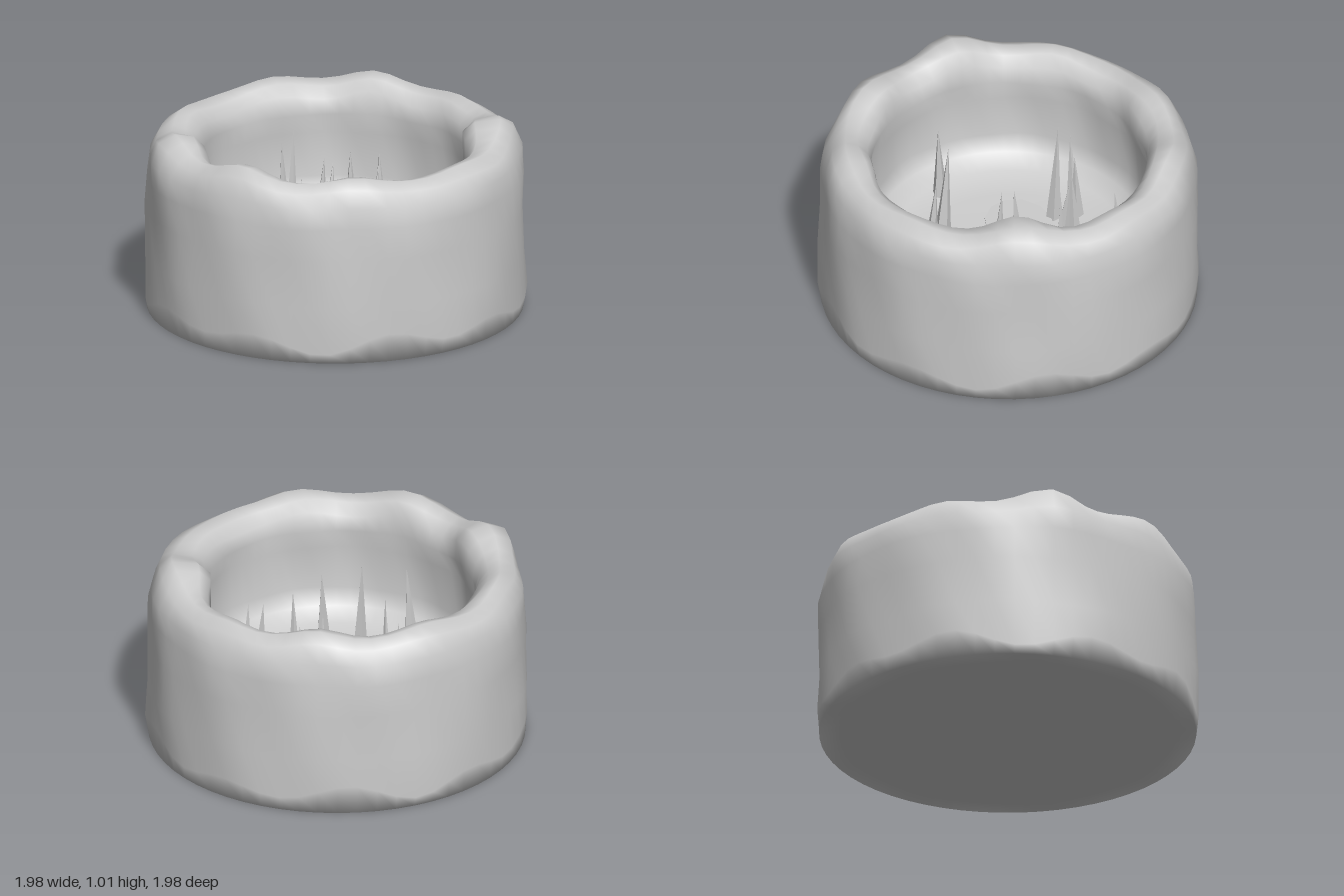
import * as THREE from 'three';

const clay = new THREE.MeshStandardMaterial({ color: 0xcccccc });
clay.name = 'clayGrey';

// Lumps on the rim: angle in degrees (0 = +x, 90 = +z), height, half width, outward and inward swell
const lumps = [
  [17, 0.085, 14, 0.01, 0.07], [54, 0.015, 12, 0.01, 0.01], [100, 0.04, 12, 0.0, 0.02],
  [141, 0.06, 12, 0.0, 0.02], [180, 0.075, 11, 0.035, 0.02], [218, 0.03, 12, 0.0, 0.0],
  [263, 0.04, 14, 0.0, 0.01], [301, 0.06, 12, 0.0, 0.01], [335, 0.02, 10, 0.0, 0.0],
];

// Sum of the lumps at one angle
function lumpAt(deg) {
  const sum = { up: 0, out: 0, inn: 0 };
  for (const [at, up, width, out, inn] of lumps) {
    const d = ((deg - at + 540) % 360) - 180;
    const w = Math.exp(-((d / width) ** 2));
    sum.up += up * w;
    sum.out += out * w;
    sum.inn += inn * w;
  }
  return sum;
}

// Cross-section from the centre of the base, up the wall, over the rim and down to the floor:
// radius, height, share of the rim lumps
const section = [
  [0, 0, 0], [0.86, 0, 0], [0.975, 0, 0], [0.985, 0.1, 0], [0.98, 0.3, 0], [0.977, 0.55, 0],
  [0.972, 0.72, 0.3], [0.955, 0.82, 1], [0.915, 0.885, 1], [0.85, 0.925, 1], [0.785, 0.905, 1],
  [0.735, 0.85, 1], [0.715, 0.78, 0.7], [0.728, 0.68, 0.2], [0.725, 0.45, 0], [0.69, 0.36, 0],
  [0.6, 0.305, 0], [0.44, 0.275, 0], [0, 0.27, 0],
];

// Hand-shaped body with a lumpy rim, as one smooth closed surface
function makePot() {
  const sides = 60, n = section.length, pos = [], index = [];
  for (let i = 0; i < sides; i++) {
    const a = (i / sides) * Math.PI * 2;
    const lump = lumpAt((i / sides) * 360);
    section.forEach(([r, y, share], j) => {
      const outer = j < 9;
      let radius = r + share * (outer ? lump.out : j > 9 ? -lump.inn : 0);
      let height = y + share * lump.up * (j < 8 ? 0.35 : j < 12 ? 1 : 0.3);
      // uneven surface on the walls
      if (j > 2 && j < 15) radius += 0.006 * Math.sin(a * 7 + j * 1.9) + 0.004 * Math.sin(a * 13 - j);
      if (j === 3) height += 0.035 * Math.sin(a * 9) + 0.02 * Math.sin(a * 5 + 1);
      radius = Math.min(radius, 0.998);
      pos.push(radius * Math.cos(a), height, radius * Math.sin(a));
      if (j < n - 1) {
        const p = i * n + j, q = ((i + 1) % sides) * n + j;
        if (j < n - 2) index.push(p, p + 1, q + 1);
        else index.push(p, p + 1, q);
        if (j > 0 && j < n - 2) index.push(p, q + 1, q);
      }
    });
  }
  const geo = new THREE.BufferGeometry();
  geo.setAttribute('position', new THREE.Float32BufferAttribute(pos, 3));
  geo.setIndex(index);
  geo.computeVertexNormals();
  return geo;
}

// Grass blades: x, z, tip height, tip lean in x and z
const blades = [
  [-0.15, -0.3, 0.86, 0.02, -0.02], [-0.13, -0.42, 0.66, 0.03, 0.02], [-0.15, -0.41, 0.76, -0.02, 0.01],
  [0.02, -0.35, 0.68, 0.02, 0.02], [0.05, -0.27, 0.66, 0.03, -0.04], [0.24, -0.52, 0.64, -0.01, 0.02],
  [0.31, -0.18, 0.74, -0.02, 0.0], [0.1, -0.02, 0.68, -0.02, 0.02], [0.18, 0.13, 0.78, 0.02, -0.02],
  [0.32, 0.28, 0.66, -0.02, -0.02], [0.41, 0.24, 0.68, -0.02, 0.01], [-0.25, 0.27, 0.78, 0.0, -0.03],
  [-0.1, 0.39, 0.7, 0.02, -0.02], [-0.51, 0.19, 0.72, 0.02, 0.02],
];

function makeBlade([x, z, tip, leanX, leanZ], i) {
  const base = 0.26, h = tip - base;
  const geo = new THREE.ConeGeometry(0.042, h, 5, 1).toNonIndexed();
  geo.rotateY(i * 1.3).translate(0, h / 2, 0);
  // shear the blade toward its tip
  const p = geo.attributes.position;
  for (let k = 0; k < p.count; k++) {
    const t = p.getY(k) / h;
    p.setXYZ(k, p.getX(k) + leanX * t, p.getY(k), p.getZ(k) + leanZ * t);
  }
  geo.computeVertexNormals();
  const mesh = new THREE.Mesh(geo, clay);
  mesh.position.set(x, base, z);
  mesh.name = 'grassBlade' + (i + 1);
  return mesh;
}

export function createModel() {
  const model = new THREE.Group();
  model.name = 'grassPot';

  const pot = new THREE.Mesh(makePot(), clay);
  pot.name = 'pot';

  // Shallow disc lying on the floor
  const puddle = new THREE.Mesh(new THREE.CylinderGeometry(1, 1, 0.008, 12), clay);
  puddle.name = 'puddle';
  puddle.scale.set(0.215, 1, 0.175);
  puddle.position.set(-0.14, 0.28, -0.11);

  // Rounded stone half sunk in the floor
  const stone = new THREE.Mesh(new THREE.SphereGeometry(0.125, 12, 8), clay);
  stone.name = 'stone';
  stone.scale.set(1, 0.85, 0.95);
  stone.position.set(0.28, 0.3, 0.26);

  const grass = new THREE.Group();
  grass.name = 'grass';
  blades.forEach((b, i) => grass.add(makeBlade(b, i)));

  model.add(pot, puddle, stone, grass);
  return model;
}
